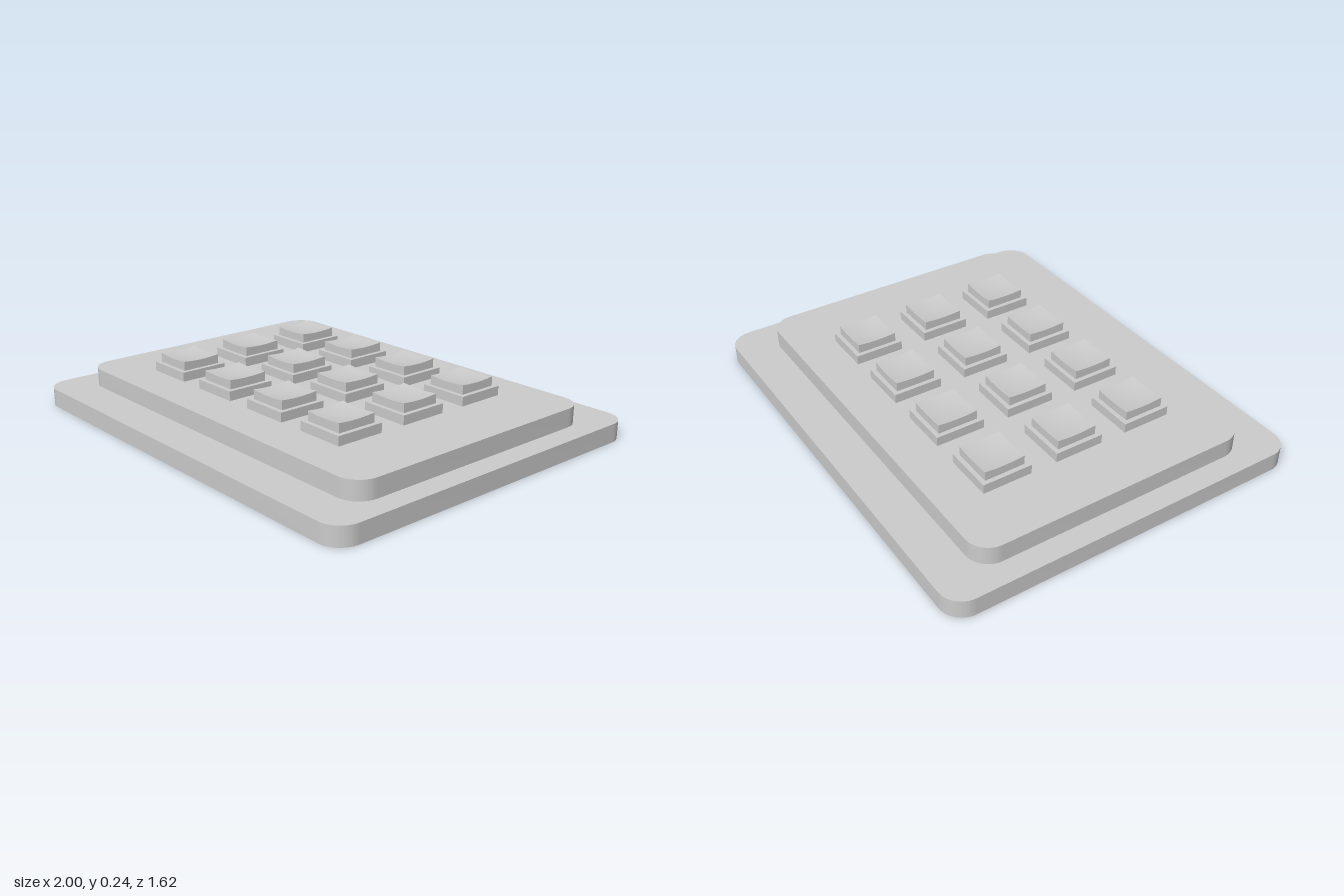
import * as THREE from 'three';
import { toCreasedNormals } from 'three/addons/utils/BufferGeometryUtils.js';

const material = new THREE.MeshStandardMaterial({ color: 0xcccccc });

function part(name, geometry, x, y, z) {
  const mesh = new THREE.Mesh(geometry, material);
  mesh.name = name;
  mesh.position.set(x, y, z);
  return mesh;
}

// Flat slab with rounded corners, standing on y = 0
function slab(width, depth, height, r) {
  const w = width / 2, d = depth / 2;
  const shape = new THREE.Shape();
  shape.absarc(w - r, d - r, r, 0, Math.PI / 2);
  shape.absarc(-w + r, d - r, r, Math.PI / 2, Math.PI);
  shape.absarc(-w + r, -d + r, r, Math.PI, Math.PI * 1.5);
  shape.absarc(w - r, -d + r, r, Math.PI * 1.5, Math.PI * 2);
  shape.closePath();
  const geometry = new THREE.ExtrudeGeometry(shape, { depth: height, bevelEnabled: false, curveSegments: 12 });
  geometry.rotateX(-Math.PI / 2);
  return toCreasedNormals(geometry, Math.PI / 6);
}

// Key cap: a box whose top is hollowed into a shallow dish, corners highest
function dishedCap(size, height, dip) {
  const geometry = new THREE.BoxGeometry(size, height, size, 8, 1, 8);
  const p = geometry.attributes.position, half = size / 2;
  for (let i = 0; i < p.count; i++) {
    if (p.getY(i) < 0) continue;
    const u = p.getX(i) / half, v = p.getZ(i) / half;
    p.setY(i, height / 2 - dip * (1 - (u * u + v * v) / 2));
  }
  return toCreasedNormals(geometry, Math.PI / 6);
}

export function createModel() {
  const model = new THREE.Group();
  model.name = 'keypad';

  // Stepped housing
  model.add(part('basePlate', slab(2, 1.62, 0.081, 0.1), 0, 0, 0));
  model.add(part('upperPlate', slab(1.8, 1.27, 0.081, 0.1), 0, 0.081, 0));

  // Three rows of four keys, set slightly to the right
  const collar = new THREE.BoxGeometry(0.22, 0.041, 0.22);
  const cap = dishedCap(0.18, 0.041, 0.011);
  for (let row = 0; row < 3; row++) {
    for (let col = 0; col < 4; col++) {
      const key = new THREE.Group();
      key.name = `key${row * 4 + col + 1}`;
      key.position.set(-0.525 + col * 0.338, 0.162, (row - 1) * 0.338);
      key.add(part('keyCollar', collar, 0, 0.0205, 0));
      key.add(part('keyCap', cap, 0, 0.0615, 0));
      model.add(key);
    }
  }
  return model;
}
